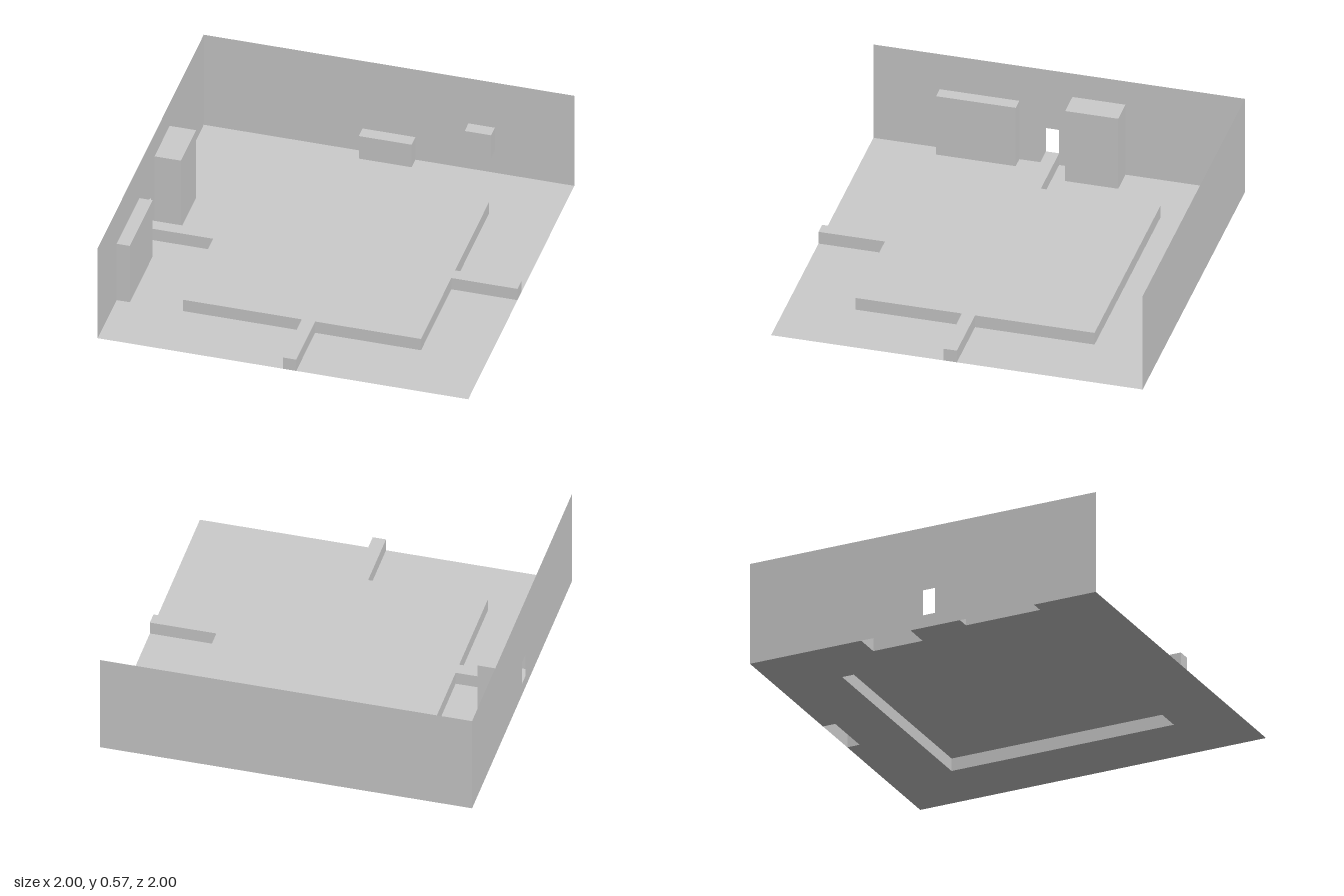
import * as THREE from 'three';

const U = 1 / 14; // grid unit: the room is 28 x 28 units

const PX = 0, NX = 1, NY = 3, PZ = 4, NZ = 5; // box face numbers

export function createModel() {
  const model = new THREE.Group();
  const material = new THREE.MeshStandardMaterial({
    color: 0xcccccc, flatShading: true, side: THREE.DoubleSide,
  });

  function add(name, geometry) {
    const mesh = new THREE.Mesh(geometry, material);
    mesh.name = name;
    model.add(mesh);
    return mesh;
  }

  // Box between two corners in grid units, leaving out the listed faces
  function block(name, [x0, y0, z0], [x1, y1, z1], omit) {
    const g = new THREE.BoxGeometry((x1 - x0) * U, (y1 - y0) * U, (z1 - z0) * U);
    g.setIndex(Array.from(g.index.array).filter((_, i) => !omit.includes(Math.floor(i / 6))));
    g.clearGroups();
    g.translate((x0 + x1) / 2 * U, (y0 + y1) / 2 * U, (z0 + z1) / 2 * U);
    add(name, g);
  }

  const points = (list) => list.map(([a, b]) => new THREE.Vector2(a * U, b * U));
  const rect = (a0, b0, a1, b1) => points([[a0, b0], [a1, b0], [a1, b1], [a0, b1]]);

  // Floor sheet (x, z), open beneath the platform and the standing blocks
  const floor = new THREE.Shape(points([
    [-14, -14], [-2, -14], [-2, -13], [2, -13], [2, -14], [14, -14],
    [14, 14], [-14, 14],
    [-14, 9], [-13, 9], [-13, 3], [-14, 3],
    [-14, -1], [-12, -1], [-12, -5], [-14, -5],
  ]));
  floor.holes.push(new THREE.Path(rect(-9, -9, 9, 9)));
  // Flip the sheet so that its normal points up
  const floorGeometry = new THREE.ShapeGeometry(floor).rotateX(Math.PI / 2);
  const index = Array.from(floorGeometry.index.array);
  for (let i = 0; i < index.length; i += 3) [index[i], index[i + 1]] = [index[i + 1], index[i]];
  floorGeometry.setIndex(index);
  floorGeometry.computeVertexNormals();
  add('floor', floorGeometry);

  // Thin walls; the side wall has a small doorway
  add('backWall', new THREE.PlaneGeometry(28 * U, 8 * U).translate(0, 4 * U, -1));
  const side = new THREE.Shape(rect(-14, 0, 14, 8));
  side.holes.push(new THREE.Path(rect(0, 1, 1, 3)));
  add('sideWall', new THREE.ShapeGeometry(side).rotateY(-Math.PI / 2).translate(-1, 0, 0));

  // Raised platform with three narrow walkways
  block('platform', [-9, 0, -9], [9, 1, 9], [NY]);
  block('rightWalkway', [-14, 0, 0], [-9, 1, 1], [PX, NX, NY]);
  block('leftWalkway', [9, 0, 0], [14, 1, 1], [NX, NY]);
  block('frontWalkway', [0, 0, 9], [1, 1, 14], [NZ, NY]);

  // Blocks against the walls
  block('wideCabinet', [-14, 0, 3], [-13, 5, 9], [NX, NY]);
  block('tallCabinet', [-14, 0, -5], [-12, 6, -1], [NX, NY]);
  block('lowBench', [-2, 0, -14], [2, 2, -13], [NZ, NY]);
  block('wallBox', [6, 2, -14], [8, 4, -13], [NZ]);

  return model;
}
